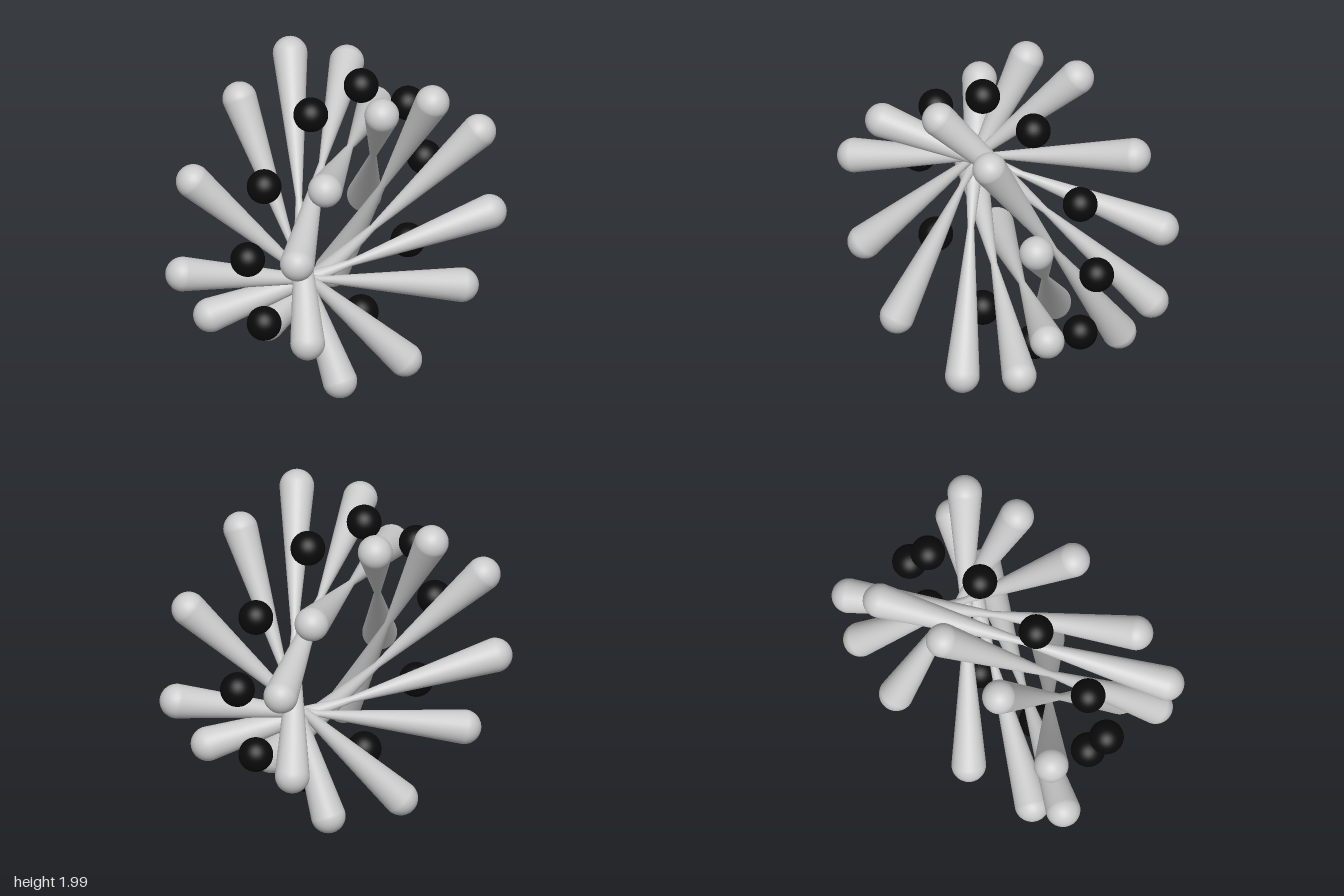
import * as THREE from 'three';

const R = 0.105;      // radius of rod ends and beads
const WAIST = 0.02;   // radius at the middle of a rod
const Z = 0.455;      // depth of the rod ends

// Double-ended club: rounded ends tapering to a thin waist
function rodGeometry(length) {
  const half = length / 2, arc = 10, pts = [];
  for (let i = 0; i <= arc; i++) {
    const a = (i / arc) * Math.PI / 2;
    pts.push(new THREE.Vector2(R * Math.sin(a), -half - R * Math.cos(a)));
  }
  pts.push(new THREE.Vector2(WAIST, 0));
  for (let i = arc; i >= 0; i--) pts.push(new THREE.Vector2(pts[i].x, -pts[i].y));
  return new THREE.LatheGeometry(pts, 32);
}

export function createModel() {
  const model = new THREE.Group();
  model.name = 'twistedRing';
  const grey = new THREE.MeshStandardMaterial({ color: 0xcccccc });
  const black = new THREE.MeshStandardMaterial({ color: 0x0a0a0a });

  const addRod = (a, b) => {
    const dir = b.clone().sub(a);
    const rod = new THREE.Mesh(rodGeometry(dir.length()), grey);
    rod.position.copy(a).add(b).multiplyScalar(0.5);
    rod.quaternion.setFromUnitVectors(new THREE.Vector3(0, 1, 0), dir.normalize());
    rod.name = 'rod';
    model.add(rod);
  };

  // Rods: front end x, y and back end x, y; each repeats half a turn about y
  const rods = [
    [-0.106, 1.9, 0.793, 0.62],
    [0.36, 1.787, 0.495, 0.227],
    [-0.63, 1.61, 0.888, 1.21],
    [0.79, 1.4, -0.106, 0.115],
    [0.888, 0.8, -0.63, 0.404],
  ];
  for (const [fx, fy, bx, by] of rods) {
    for (const s of [1, -1]) {
      addRod(new THREE.Vector3(s * fx, fy, s * Z), new THREE.Vector3(s * bx, by, -s * Z));
    }
  }

  // Ring of dark beads in the middle plane, mirrored left and right
  const beadGeometry = new THREE.SphereGeometry(R, 32, 20);
  for (const [x, y] of [[0.233, 1.79], [0.665, 1.48], [0.817, 1.04], [0.665, 0.53], [0.233, 0.22]]) {
    for (const s of [1, -1]) {
      const bead = new THREE.Mesh(beadGeometry, black);
      bead.position.set(s * x, y, 0);
      bead.name = 'bead';
      model.add(bead);
    }
  }
  return model;
}
